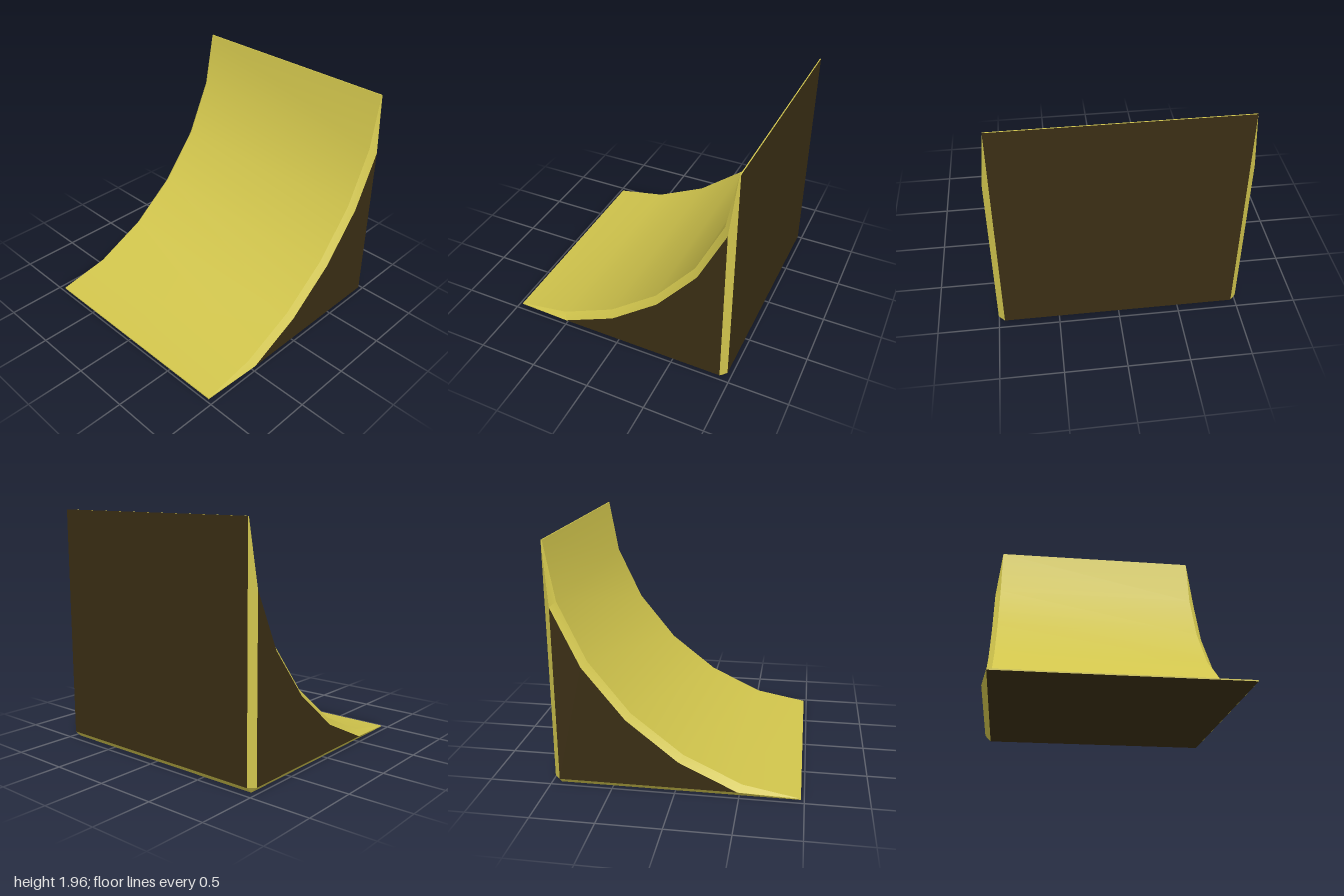
import * as THREE from 'three';

export function createModel() {
  const group = new THREE.Group();
  const yellow = new THREE.MeshStandardMaterial({ color: 0xd0c44c });
  const dark = new THREE.MeshStandardMaterial({ color: 0x3a2e14 });

  // Main outline as [z, y]: curve from toe to crest, then down the back and along the base
  const outer = [
    [0.974, 0.01], [0.52, 0.095], [0.06, 0.315], [-0.345, 0.635], [-0.67, 1.04], [-0.885, 1.5], [-0.965, 1.958],
    [-0.974, 1.958], [-0.974, 0.05], [-0.925, 0], [0.974, 0], [0.974, 0.01],
  ];
  // Inset outline of the side panels, paired point for point with the main outline
  const toe = [0.49, 0.05], top = [-0.925, 1.466], corner = [-0.925, 0.05];
  const inner = [
    toe, toe, [0.03, 0.27], [-0.377, 0.597], [-0.707, 1.005], top, top,
    top, corner, corner, toe, toe,
  ];
  // Stretches of the outline that are shaded as one surface
  const runs = [
    ['rampSurface', 0, 6], ['crestEdge', 6, 7], ['backPanel', 7, 8],
    ['backChamfer', 8, 9], ['basePanel', 9, 10], ['toeEdge', 10, 11],
  ];

  const at = (x, list) => list.map(([z, y]) => [x, y, z]);

  // Smooth strip of quads between two rows of points
  function strip(name, a, b, material) {
    const index = [];
    const n = a.length;
    for (let i = 0; i < n - 1; i++) {
      index.push(i, n + i, i + 1, n + i, n + i + 1, i + 1);
    }
    const geometry = new THREE.BufferGeometry();
    geometry.setAttribute('position', new THREE.Float32BufferAttribute([...a, ...b].flat(), 3));
    geometry.setIndex(index);
    geometry.computeVertexNormals();
    const mesh = new THREE.Mesh(geometry, material);
    mesh.name = name;
    group.add(mesh);
  }

  // Full-width faces: curved ramp, back, base and the narrow edges between them
  for (const [name, from, to] of runs) {
    const row = outer.slice(from, to + 1);
    strip(name, at(-0.95, row), at(0.95, row), name.endsWith('Panel') ? dark : yellow);
  }

  // Each side: bevelled rim around a flat dark panel
  for (const s of [1, -1]) {
    const side = s > 0 ? 'left' : 'right';
    const sided = (name, a, b, material) => strip(side + name, s > 0 ? a : b, s > 0 ? b : a, material);
    for (const [name, from, to] of runs) {
      sided('Bevel_' + name, at(s * 0.95, outer.slice(from, to + 1)), at(s, inner.slice(from, to + 1)), yellow);
    }
    const curve = inner.slice(1, 6);
    sided('SidePanel', at(s, curve), at(s, curve.map(() => corner)), dark);
  }
  return group;
}
